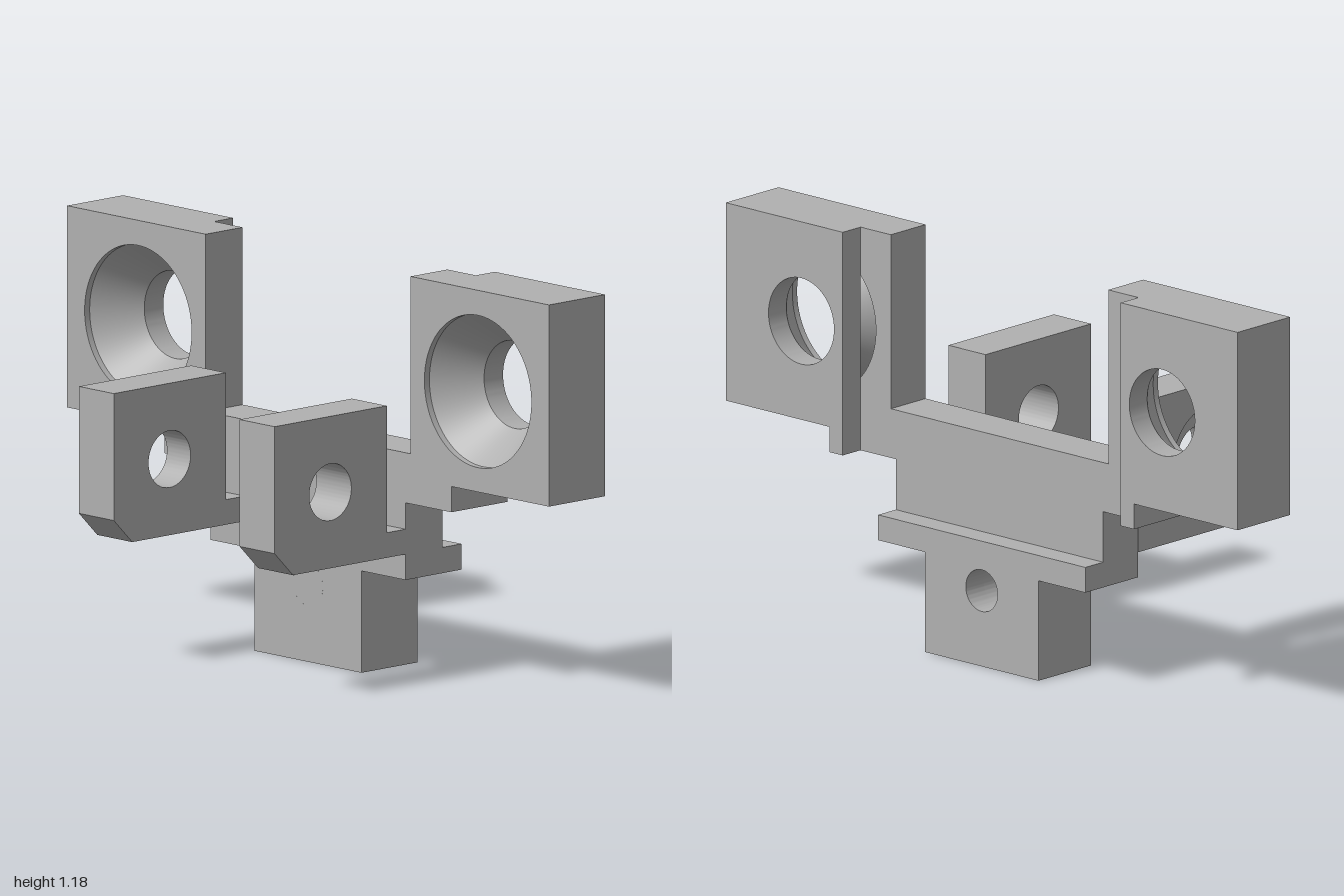
import * as THREE from 'three';
import { toCreasedNormals } from 'three/addons/utils/BufferGeometryUtils.js';

const grey = new THREE.MeshStandardMaterial({ color: 0xb0b0b0, side: THREE.DoubleSide });
grey.name = 'grey';

// Extrudes an outline with round holes [x, y, radius] along +z
function extrude(points, depth, holes) {
  const shape = new THREE.Shape(points.map(([x, y]) => new THREE.Vector2(x, y)));
  for (const [x, y, r] of holes) shape.holes.push(new THREE.Path().absarc(x, y, r, 0, Math.PI * 2, true));
  const geometry = new THREE.ExtrudeGeometry(shape, { depth, bevelEnabled: false, curveSegments: 48 });
  return toCreasedNormals(geometry, 0.5);
}

// Plate spanning x0..x1, its outline and holes given as [z, y]
function plateX(points, x0, x1, holes = []) {
  const g = extrude(points.map(([z, y]) => [-z, y]), x1 - x0, holes.map(([z, y, r]) => [-z, y, r]));
  return g.rotateY(Math.PI / 2).translate(x0, 0, 0);
}

// Plate spanning z0..z1, its outline and holes given as [x, y]
function plateZ(points, z0, z1, holes = []) {
  return extrude(points, z1 - z0, holes).translate(0, 0, z0);
}

const rect = (a0, a1, b0, b1) => [[a0, b0], [a1, b0], [a1, b1], [a0, b1]];

export function createModel() {
  const group = new THREE.Group();
  const add = (name, geometry) => {
    const mesh = new THREE.Mesh(geometry, grey);
    mesh.name = name;
    group.add(mesh);
    return mesh;
  };

  const xBack = 0.147, xStep = 0.293, xFace = 0.368;
  const eyeZ = 0.705, eyeY = 0.89, eyeR = 0.128, sinkR = 0.222;
  const pinY = 0.225, pinR = 0.062;

  // Back layer: one symmetric plate with both raised ends and the tab
  const half = [[0.222, 0], [0.222, 0.297], [0.405, 0.297], [0.405, 0.522], [0.595, 0.522],
    [0.595, 0.597], [1, 0.597], [1, 1.185], [0.425, 1.185], [0.425, 0.668]];
  const outline = [...half, ...half.map(([z, y]) => [-z, y]).reverse()];
  add('backPlate', plateX(outline, xBack, xStep,
    [[eyeZ, eyeY, sinkR], [-eyeZ, eyeY, sinkR], [0, pinY, pinR]]));

  // Closed end of the blind hole in the tab
  add('pinHoleFloor', new THREE.CylinderGeometry(pinR, pinR, 0.053, 48)
    .rotateZ(-Math.PI / 2).translate(xBack + 0.0265, pinY, 0));

  // Front layer: ledge with tab, and a thick pad on each raised end
  add('ledgeAndTab', plateX([[0.222, 0], [0.222, 0.297], [0.405, 0.297], [0.405, 0.372],
    [-0.405, 0.372], [-0.405, 0.297], [-0.222, 0.297], [-0.222, 0]], xStep, xFace, [[0, pinY, pinR]]));

  const pad = [[0.543, 0.522], [0.595, 0.522], [0.595, 0.597], [1, 0.597], [1, 1.185], [0.543, 1.185]];
  for (const s of [1, -1]) {
    const side = s > 0 ? 'front' : 'back';
    add(side + 'EndPad', plateX(pad.map(([z, y]) => [s * z, y]), xStep, xFace, [[s * eyeZ, eyeY, eyeR]]));
    // Conical countersink opening to the rear
    const cone = new THREE.LatheGeometry(
      [new THREE.Vector2(eyeR, xStep), new THREE.Vector2(sinkR, xBack + 0.02)], 96);
    add(side + 'Countersink', cone.rotateZ(-Math.PI / 2).translate(0, eyeY, s * eyeZ));
  }

  // Side arms with a chamfered corner and a narrow neck
  const arm = [[-0.297, 0.372], [xBack, 0.372], [xBack, 0.445], [0.073, 0.445],
    [0.073, 0.815], [-0.37, 0.815], [-0.37, 0.445]];
  const bore = (r) => [[-0.15, 0.594, r]];
  add('frontArm', plateZ(arm, 0.26, 0.405, bore(0.083)));
  add('backArm', plateZ(arm, -0.36, -0.262, bore(0.083)));
  // Outer skin of the back arm, with a wide counterbore
  add('backArmCounterbore', plateZ(arm, -0.407, -0.36, bore(0.153)));

  return group;
}
